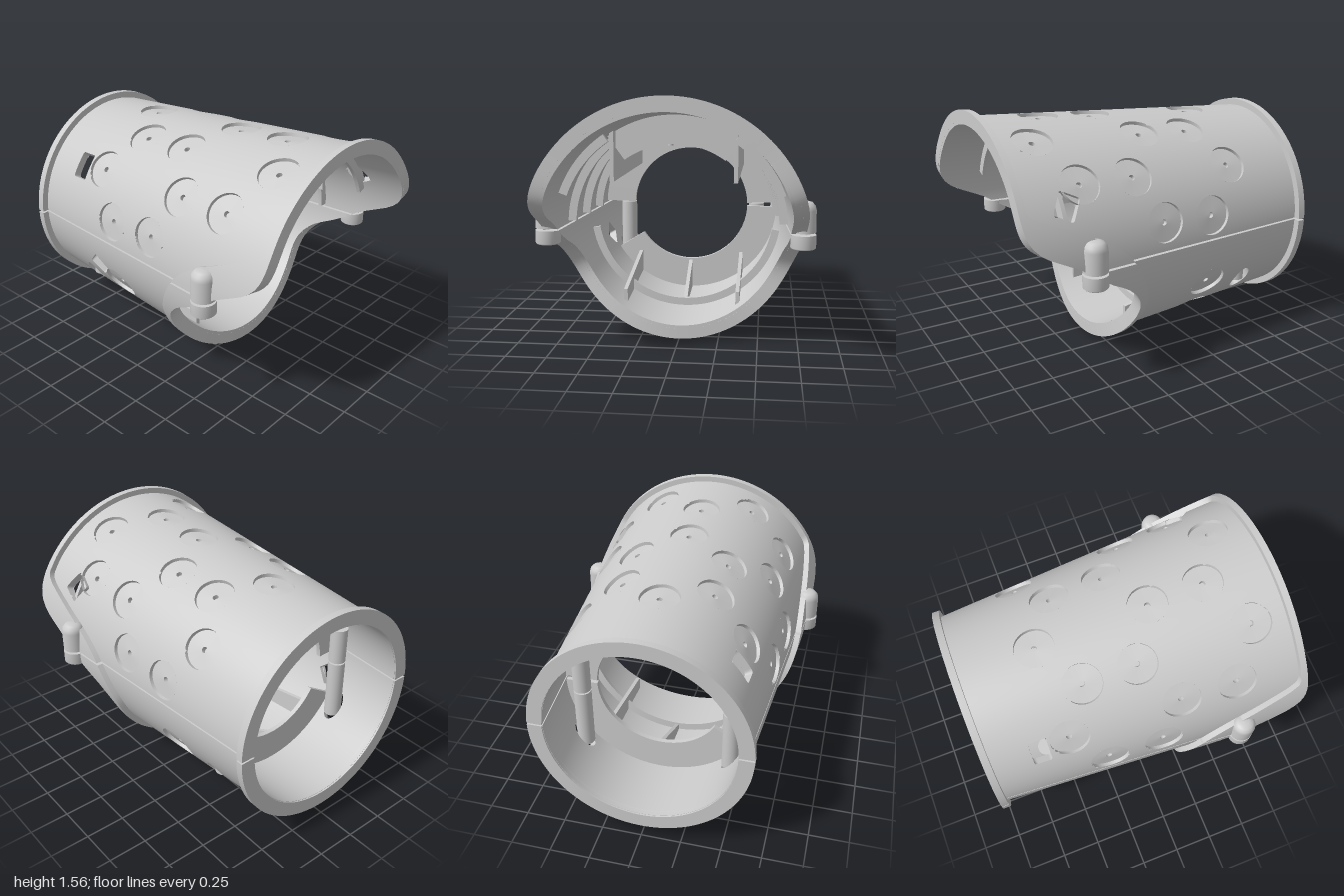
import * as THREE from 'three';
import { mergeGeometries } from 'three/addons/utils/BufferGeometryUtils.js';

const AXIS = 0.77, RAD = Math.PI / 180, WALL = 0.05;
const mat = new THREE.MeshStandardMaterial({ color: 0xcccccc, side: THREE.DoubleSide });
const R = x => 0.63 + 0.0684 * (x + 0.96);          // tapered outer radius
const inner = x => R(x) - WALL;
// x along the sleeve, angle a from the top towards the front, radius r
const place = (x, a, r) => [x, AXIS + r * Math.cos(a), r * Math.sin(a)];

// smooth curve through [h, x] points, h rising
function curve(pts) {
  const n = pts.length - 1;
  const slope = i => {
    const a = pts[Math.max(i - 1, 0)], b = pts[Math.min(i + 1, n)];
    return (b[1] - a[1]) / (b[0] - a[0]);
  };
  return h => {
    let i = 0;
    while (i < n - 1 && h > pts[i + 1][0]) i++;
    const [h0, x0] = pts[i], [h1, x1] = pts[i + 1], d = h1 - h0;
    const t = Math.min(1, Math.max(0, (h - h0) / d)), t2 = t * t, t3 = t2 * t;
    return (2 * t3 - 3 * t2 + 1) * x0 + (t3 - 2 * t2 + t) * d * slope(i)
      + (3 * t2 - 2 * t3) * x1 + (t3 - t2) * d * slope(i + 1);
  };
}
// open end of the sleeve and start of its raised lip, by height
const endH = curve([[-1, 0.31], [-0.85, 0.28], [-0.65, 0.25], [-0.48, 0.24], [-0.35, 0.27], [-0.22, 0.36],
  [-0.13, 0.48], [-0.03, 0.6], [0.05, 0.68], [0.13, 0.8], [0.2, 0.9], [0.29, 0.97], [0.42, 1], [0.7, 1], [1, 1]]);
const lipH = curve([[-1, 0.265], [-0.65, 0.22], [-0.48, 0.2], [-0.28, 0.22], [0.04, 0.35], [0.2, 0.5],
  [0.35, 0.75], [0.46, 0.94], [0.55, 0.96], [0.75, 0.96], [1, 0.96]]);
const xEnd = a => endH(Math.cos(a)), xLip = a => lipH(Math.cos(a));

// cutters on the unrolled wall: round pockets, square windows, rod slots
const cuts = [];
const cut = (x, deg, w, h, o = {}) => cuts.push({ x, a: deg * RAD, w, h, rot: 0, square: false, through: false, ...o });
for (const x of [-0.49, 0.22, 0.57]) cut(x, 0, 0.122, 0.122);
for (const s of [-1, 1]) {
  for (const [x, deg] of [[-0.3, 25.7], [0.04, 25.7], [0.75, 25.7], [-0.47, 51.5], [0.23, 51], [0.58, 51],
    [-0.27, 77], [0.08, 75.5], [-0.3, 119], [-0.32, 148], [-0.63, 163], [-0.02, 163]]) cut(x, s * deg, 0.122, 0.122);
  cut(-0.61, s * 127, 0.058, 0.11, { through: true });
}
cut(-0.66, 54, 0.056, 0.085, { square: true, through: true });
cut(-0.46, 111, 0.065, 0.065, { square: true, through: true, rot: 0.75 });
cut(0.7, -60, 0.065, 0.075, { square: true, through: true, rot: 0.5 });

function measure(c, dx, dy) {
  const k = Math.cos(c.rot), s = Math.sin(c.rot);
  const p = Math.abs(dx * k + dy * s) / c.w, q = Math.abs(dy * k - dx * s) / c.h;
  return c.square ? Math.max(p, q) : Math.hypot(p, q);
}
function offset(c, x, a) {
  let d = a - c.a;
  d -= 2 * Math.PI * Math.round(d / (2 * Math.PI));
  return [x - c.x, d * R(c.x)];
}

// patch from fn(u, v) -> [x, angle, radius]; points near a cutter snap to its outline
function patch(fn, nu, nv, holes = [], tol = 0) {
  const pos = [], idx = [], flat = [];
  for (let j = 0; j <= nv; j++) for (let i = 0; i <= nu; i++) {
    let [x, a, r] = fn(i / nu, j / nv);
    for (const c of holes) {
      const [dx, dy] = offset(c, x, a), f = measure(c, dx, dy);
      if (f > 0.2 && Math.abs(f - 1) * Math.hypot(dx, dy) / f < tol) {
        a += (dy / f - dy) / R(c.x);
        r += R(c.x + dx / f) - R(x);
        x = c.x + dx / f;
      }
    }
    flat.push([x, a]);
    pos.push(...place(x, a, r));
  }
  const tri = (...t) => {
    const x = (flat[t[0]][0] + flat[t[1]][0] + flat[t[2]][0]) / 3;
    const a = (flat[t[0]][1] + flat[t[1]][1] + flat[t[2]][1]) / 3;
    if (!holes.some(c => measure(c, ...offset(c, x, a)) < 0.995)) idx.push(...t);
  };
  for (let j = 0; j < nv; j++) for (let i = 0; i < nu; i++) {
    const p = j * (nu + 1) + i, q = p + nu + 1;
    tri(p, q, p + 1);
    tri(p + 1, q, q + 1);
  }
  const g = new THREE.BufferGeometry();
  g.setAttribute('position', new THREE.Float32BufferAttribute(pos, 3));
  g.setIndex(idx);
  g.computeVertexNormals();
  return g;
}

// closed band with a four-sided section swept from angle d0 to d1 (degrees)
function band(d0, d1, xa, xb, rIn, rOut, cutOpen = false) {
  const ang = v => (d0 + (d1 - d0) * v) * RAD, mix = (p, q, t) => p + (q - p) * t;
  const nv = Math.max(4, Math.round((d1 - d0) / 2.5));
  const X = (a, u) => mix(xa(a), xb(a), u);
  const side = (r, rev) => (u, v) => { const a = ang(v), x = X(a, rev ? 1 - u : u); return [x, a, r(x)]; };
  const end = at => (u, v) => { const a = ang(v), x = X(a, at); return [x, a, mix(rIn(x), rOut(x), at ? 1 - u : u)]; };
  const cap = at => (u, v) => { const a = ang(at), x = X(a, at ? 1 - u : u); return [x, a, mix(rIn(x), rOut(x), v)]; };
  return mergeGeometries([
    cutOpen ? patch(side(rOut), 110, 140, cuts, 0.011) : patch(side(rOut), 4, nv),
    cutOpen ? patch(side(rIn, true), 70, 80, cuts.filter(c => c.through), 0.018) : patch(side(rIn, true), 4, nv),
    patch(end(0), 1, nv), patch(end(1), 1, nv), patch(cap(0), 8, 1), patch(cap(1), 8, 1)]);
}

// walls of a cutter; pockets also get a floor with a pinhole
function recess(c) {
  const ring = (s0, d0, s1, d1) => patch((u, v) => {
    const t = v * 2 * Math.PI + c.rot, f = measure(c, Math.cos(t), Math.sin(t)), s = (s0 + (s1 - s0) * u) / f;
    const x = c.x + s * Math.cos(t);
    return [x, c.a + s * Math.sin(t) / R(c.x), R(x) - d0 - (d1 - d0) * u];
  }, 1, 48);
  if (c.through) return ring(1, WALL, 1, 0);
  return mergeGeometries([ring(0.15, WALL, 0.15, 0.022), ring(0.15, 0.022, 1, 0.022), ring(1, 0.022, 1, 0)]);
}

export function createModel() {
  const model = new THREE.Group();
  const add = (name, geo, x = 0, y = 0, z = 0) => {
    const m = new THREE.Mesh(geo, mat);
    m.name = name;
    m.position.set(x, y, z);
    model.add(m);
    return m;
  };
  const at = k => () => k;

  // two half shells with a narrow seam, end flange and raised lip
  for (const [name, d0, d1] of [['upper', -89.5, 89.5], ['lower', 90.5, 269.5]]) {
    add(name + 'Shell', band(d0, d1, at(-0.99), xEnd, inner, R, true));
    add(name + 'Flange', band(d0, d1, at(-1), at(-0.955), at(0.58), at(0.672)));
    add(name + 'Lip', band(d0, d1, xLip, a => xEnd(a) + 0.0005, x => R(x) - 0.03, x => R(x) + 0.037));
  }
  cuts.forEach(c => add(c.through ? 'windowWall' : 'pocket', recess(c)));

  // inner ring plate and partition under the top
  const deep = x => R(x) - 0.03;
  add('upperRingPlate', band(-88.5, 88.5, at(-0.52), at(-0.49), at(0.405), deep));
  add('lowerRingPlate', band(122, 268.5, at(-0.52), at(-0.49), at(0.405), deep));
  add('topPartition', band(-36, 36, at(0.5), at(0.53), at(0.51), deep));

  // curved ribs along the inside
  for (const x of [-0.2, 0.1, 0.4, 0.7])
    for (const s of [-1, 1]) {
      const top = x > 0.5 ? 70 : 88;
      add('sideRib', band(s > 0 ? 34 : -top, s > 0 ? top : -34, at(x), at(x + 0.025), k => R(k) - 0.1, deep));
    }
  add('lowerRib', band(100, 260, at(-0.1), at(-0.075), x => R(x) - 0.1, deep));

  // long beams on both sides, and a keel gusset
  const slab = (pts, depth) => new THREE.ExtrudeGeometry(
    new THREE.Shape(pts.map(p => new THREE.Vector2(...p))), { depth, bevelEnabled: false }).translate(0, 0, -depth / 2);
  for (const s of [-1, 1]) {
    add('upperBeam', slab([[-0.5, 1.06], [0.6, 1.06], [0.6, 1.36], [-0.5, 1.27]], 0.025), 0, 0, s * 0.365);
    add('lowerBeam', slab([[-0.5, 0.27], [0.18, 0.21], [0.18, 0.3], [-0.5, 0.42]], 0.025), 0, 0, s * 0.365);
  }
  add('keelGusset', slab([[-0.5, 0.15], [-0.1, 0.12], [-0.1, 0.17], [-0.5, 0.36]], 0.025));

  // small pegs under the top
  for (const [x, z] of [[-0.35, 0.1], [-0.35, -0.12], [-0.1, 0.1], [-0.1, -0.12]])
    add('peg', new THREE.CylinderGeometry(0.018, 0.018, 0.18, 16), x, 1.31, z);

  const lathe = pts => new THREE.LatheGeometry(pts.map(p => new THREE.Vector2(...p)), 32);
  for (const s of [-1, 1]) {
    // upright rod with its split
    add('lowerRod', new THREE.CylinderGeometry(0.055, 0.055, 0.4, 28), -0.61, 0.565, s * 0.47);
    add('upperRod', new THREE.CylinderGeometry(0.055, 0.055, 0.24, 28), -0.61, 0.895, s * 0.47);
    // fastening posts: domed cap above, drilled boss below
    const post = 0.59, z = s * 0.76;
    add('upperPost', lathe([[0, 0], [0.073, 0], [0.073, 0], [0.073, 0.13], [0.066, 0.158], [0.048, 0.177], [0.025, 0.183], [0, 0.184]]), post, 0.779, z);
    add('lowerPost', lathe([[0.03, 0.085], [0.03, 0], [0.03, 0], [0.066, 0], [0.075, 0.008], [0.075, 0.085], [0.075, 0.085], [0.03, 0.085]]), post, 0.68, z);
  }
  return model;
}
